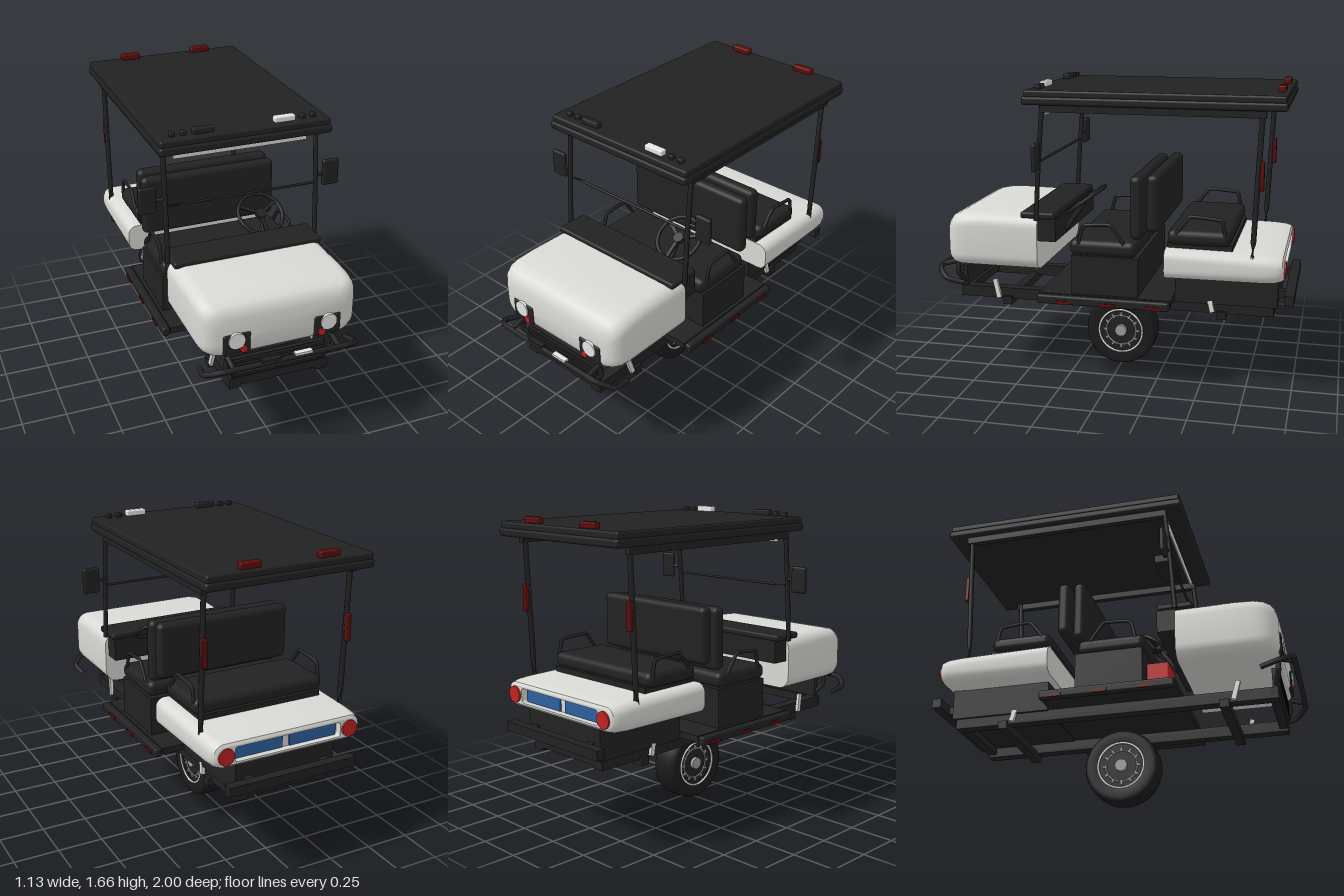
import * as THREE from 'three';
import { toCreasedNormals } from 'three/addons/utils/BufferGeometryUtils.js';
import { RoundedBoxGeometry } from 'three/addons/geometries/RoundedBoxGeometry.js';

const material = (name, color) => {
  const m = new THREE.MeshStandardMaterial({ color });
  m.name = name;
  return m;
};

export function createModel() {
  const model = new THREE.Group();
  model.name = 'utilityCart';
  const black = material('black trim', 0x222222);
  const tyreBlack = material('tyre black', 0x1b1b1b);
  const white = material('body white', 0xd9d9d5);
  const lampWhite = material('lamp white', 0xe6e6e6);
  const grey = material('rim grey', 0xa0a0a0);
  const red = material('red', 0xc02222);
  const darkRed = material('dark red', 0x5c0c0c);
  const blue = material('blue', 0x2c609f);

  const add = (name, geometry, mat, x = 0, y = 0, z = 0) => {
    const mesh = new THREE.Mesh(geometry, mat);
    mesh.name = name;
    mesh.position.set(x, y, z);
    model.add(mesh);
    return mesh;
  };
  // Box given by its limits, with optional rounded edges
  const box = (name, mat, x0, x1, y0, y1, z0, z1, r = 0) => {
    const size = [x1 - x0, y1 - y0, z1 - z0];
    const g = r ? new RoundedBoxGeometry(...size, 3, r) : new THREE.BoxGeometry(...size);
    return add(name, g, mat, (x0 + x1) / 2, (y0 + y1) / 2, (z0 + z1) / 2);
  };
  // Same box on both sides, limits given for +x
  const pair = (name, mat, x0, x1, ...rest) => {
    box(name, mat, x0, x1, ...rest);
    box(name, mat, -x1, -x0, ...rest);
  };
  const tube = (name, mat, points, r) => {
    const curve = new THREE.CatmullRomCurve3(points.map(p => new THREE.Vector3(...p)), false, 'catmullrom', 0.12);
    return add(name, new THREE.TubeGeometry(curve, (points.length - 1) * 8, r, 8), mat);
  };
  // Disc facing along z
  const disc = (name, mat, r, depth, x, y, z) =>
    add(name, new THREE.CylinderGeometry(r, r, depth, 28).rotateX(Math.PI / 2), mat, x, y, z);
  // Rounded rectangle cross-sections [z, half width, bottom, top, corner radius]
  const loft = (name, mat, sections) => {
    const rings = sections.map(([z, w, b, t, r]) => {
      const ring = [];
      for (let c = 0; c < 4; c++) for (let k = 0; k <= 6; k++) {
        const a = (c + k / 6) * Math.PI / 2;
        const cx = (c === 0 || c === 3 ? 1 : -1) * (w - r);
        const cy = c < 2 ? t - r : b + r;
        ring.push([cx + r * Math.cos(a), cy + r * Math.sin(a), z]);
      }
      return ring;
    });
    const n = rings[0].length, pos = [];
    const tri = (...p) => p.forEach(v => pos.push(...v));
    const mid = i => [0, (sections[i][2] + sections[i][3]) / 2, sections[i][0]];
    const last = rings.length - 1;
    for (let i = 0; i < n; i++) {
      const j = (i + 1) % n;
      for (let s = 0; s < last; s++) {
        const a = rings[s], b = rings[s + 1];
        tri(a[i], a[j], b[i]);
        tri(a[j], b[j], b[i]);
      }
      tri(mid(0), rings[0][j], rings[0][i]);
      tri(mid(last), rings[last][i], rings[last][j]);
    }
    const g = new THREE.BufferGeometry();
    g.setAttribute('position', new THREE.Float32BufferAttribute(pos, 3));
    return add(name, toCreasedNormals(g, 0.7), mat);
  };

  // Front and rear bodywork; the rear has a recessed panel
  loft('hood', white, [
    [0.385, 0.43, 0.645, 0.945, 0.07], [0.7, 0.43, 0.645, 0.95, 0.07], [0.8, 0.43, 0.645, 0.945, 0.07],
    [0.85, 0.425, 0.646, 0.936, 0.07], [0.885, 0.41, 0.65, 0.922, 0.07], [0.908, 0.385, 0.657, 0.9, 0.07],
    [0.92, 0.35, 0.68, 0.86, 0.06]]);
  loft('rearBody', white, [
    [-0.905, 0.31, 0.68, 0.76, 0.015], [-0.943, 0.31, 0.68, 0.76, 0.015], [-0.945, 0.41, 0.672, 0.77, 0.045],
    [-0.935, 0.425, 0.66, 0.785, 0.055], [-0.9, 0.436, 0.65, 0.793, 0.06], [-0.83, 0.438, 0.645, 0.798, 0.06],
    [-0.315, 0.438, 0.645, 0.805, 0.05]]);
  pair('rearPlate', blue, 0.02, 0.3, 0.682, 0.758, -0.913, -0.905);
  for (const s of [-1, 1]) disc('tailLamp', red, 0.045, 0.02, s * 0.362, 0.72, -0.944);

  // Headlamps with small red markers
  pair('headlampBezel', black, 0.174, 0.323, 0.663, 0.777, 0.89, 0.928, 0.012);
  for (const s of [-1, 1]) {
    disc('headlamp', lampWhite, 0.045, 0.02, s * 0.252, 0.74, 0.925);
    disc('frontMarker', red, 0.02, 0.02, s * 0.215, 0.687, 0.925);
  }

  // Dashboard and steering
  box('dashboardTop', black, -0.42, 0.42, 0.935, 0.97, 0.29, 0.48, 0.012);
  box('dashboard', black, -0.41, 0.41, 0.81, 0.94, 0.285, 0.388);
  tube('steeringColumn', black, [[0.195, 1.005, 0.168], [0.195, 0.82, 0.3]], 0.014);
  const steering = new THREE.Group();
  steering.name = 'steeringWheel';
  steering.position.set(0.195, 1.008, 0.168);
  steering.rotation.x = Math.PI / 2 - 0.625 + 0.0;
  steering.rotation.x = Math.PI / 2 + 0.625;
  steering.add(new THREE.Mesh(new THREE.TorusGeometry(0.128, 0.011, 8, 36), black));
  for (let i = 0; i < 3; i++) {
    const spoke = new THREE.Mesh(new THREE.BoxGeometry(0.125, 0.02, 0.012).translate(0.0625, 0, 0), black);
    spoke.rotation.z = Math.PI / 2 + i * Math.PI * 2 / 3;
    steering.add(spoke);
  }
  steering.add(new THREE.Mesh(new THREE.CylinderGeometry(0.03, 0.03, 0.025, 16).rotateX(Math.PI / 2), black));
  steering.children.forEach((m, i) => { m.name = 'steeringPart' + i; });
  model.add(steering);

  // Back-to-back seats
  box('frontSeatBase', black, -0.4, 0.4, 0.52, 0.74, -0.17, 0.2);
  box('frontCushion', black, -0.4, 0.4, 0.738, 0.825, -0.16, 0.215, 0.035);
  box('frontBackrest', black, -0.4, 0.4, 0.84, 1.185, -0.19, -0.12, 0.03);
  box('rearBackrest', black, -0.395, 0.395, 0.885, 1.195, -0.282, -0.21, 0.03);
  box('rearSeatBase', black, -0.36, 0.36, 0.79, 0.83, -0.67, -0.32);
  box('rearCushion', black, -0.385, 0.385, 0.822, 0.905, -0.662, -0.322, 0.035);
  for (const s of [-1, 1]) {
    tube('frontArmrest', black, [[s * 0.39, 0.79, 0.165], [s * 0.39, 0.905, 0.135], [s * 0.39, 0.915, -0.015], [s * 0.39, 0.81, -0.09]], 0.01);
    tube('rearArmrest', black, [[s * 0.375, 0.88, -0.365], [s * 0.375, 0.98, -0.445], [s * 0.375, 0.968, -0.612], [s * 0.375, 0.88, -0.632]], 0.01);
  }
  box('toolBox', red, -0.29, -0.1, 0.52, 0.69, 0.2, 0.32, 0.008);

  // Chassis, floor and bumpers
  box('floor', black, -0.42, 0.42, 0.485, 0.522, -0.35, 0.382);
  pair('sideStep', black, 0.42, 0.462, 0.472, 0.522, -0.35, 0.382, 0.012);
  for (const z of [0.235, -0.015, -0.265]) pair('sideReflector', darkRed, 0.46, 0.467, 0.477, 0.496, z - 0.04, z + 0.04);
  box('rearUnderbody', black, -0.29, 0.29, 0.48, 0.65, -0.91, -0.353);
  pair('chassisRail', black, 0.21, 0.275, 0.425, 0.487, -0.89, 0.89);
  for (const z of [0.61, -0.61]) box('crossMember', black, -0.293, 0.293, 0.395, 0.44, z - 0.025, z + 0.025);
  for (const z of [0.865, -0.865]) box('endMember', black, -0.275, 0.275, 0.44, 0.487, z - 0.025, z + 0.025);
  box('rearBumper', black, -0.37, 0.37, 0.525, 0.577, -1, -0.948);
  pair('rearBumperMount', black, 0.2, 0.25, 0.53, 0.57, -0.96, -0.9);
  box('frontPanel', black, -0.26, 0.26, 0.487, 0.6, 0.86, 0.885);
  for (let i = 0; i < 4; i++) box('frontSlat', black, -0.255, 0.255, 0.5 + i * 0.027, 0.515 + i * 0.027, 0.885, 0.9);
  tube('frontBumper', black, [[-0.41, 0.545, 0.82], [-0.425, 0.57, 0.92], [-0.34, 0.612, 0.985],
    [0.34, 0.612, 0.985], [0.425, 0.57, 0.92], [0.41, 0.545, 0.82]], 0.015);
  for (const s of [-1, 1]) {
    tube('bumperBracket', black, [[s * 0.25, 0.51, 0.88], [s * 0.3, 0.57, 0.9], [s * 0.29, 0.635, 0.9], [s * 0.29, 0.615, 0.98]], 0.014);
    for (const [y, z, h] of [[0.485, 0.672, 0.11], [0.465, -0.553, 0.065]])
      add('stepLever', new THREE.BoxGeometry(0.018, h, 0.026), white, s * 0.285, y, z).rotation.set(0.25, 0, s * 0.1);
  }
  box('bumperLampWhite', lampWhite, 0.04, 0.135, 0.614, 0.635, 0.97, 0.998);
  box('bumperLampDark', black, -0.14, -0.04, 0.614, 0.635, 0.97, 0.998);

  // Roof with marker lamps
  box('roofTop', black, -0.465, 0.465, 1.593, 1.633, -0.93, 0.435, 0.012);
  box('roofRim', black, -0.47, 0.47, 1.555, 1.6, -0.937, 0.446, 0.015);
  pair('roofSideRail', black, 0.405, 0.44, 1.517, 1.56, -0.83, 0.345);
  box('sunStrip', grey, -0.37, 0.37, 1.495, 1.545, 0.338, 0.345).material = white;
  box('roofConsole', black, 0.02, 0.27, 1.5, 1.556, 0.18, 0.29, 0.01);
  box('roofLampWhite', lampWhite, 0.163, 0.278, 1.632, 1.664, 0.36, 0.4, 0.008);
  box('roofLampDark', black, -0.28, -0.165, 1.632, 1.664, 0.36, 0.4, 0.008);
  pair('roofLampRed', darkRed, 0.163, 0.278, 1.632, 1.666, -0.912, -0.87, 0.008);
  for (const x of [0.325, 0.385]) pair('roofStud', black, x - 0.015, x + 0.015, 1.632, 1.657, 0.36, 0.39, 0.006);

  // Posts, crossbar and mirrors
  for (const s of [-1, 1]) {
    tube('frontPost', black, [[s * 0.424, 0.93, 0.388], [s * 0.424, 1.25, 0.368], [s * 0.424, 1.56, 0.342]], 0.0135);
    tube('rearPost', black, [[s * 0.415, 0.77, -0.778], [s * 0.415, 1.56, -0.81]], 0.0145);
    box('postLamp', darkRed, s * 0.415 - 0.014, s * 0.415 + 0.014, 1.145, 1.295, -0.828, -0.805, 0.005);
    tube('mirrorArm', black, [[s * 0.42, 1.29, 0.365], [s * 0.48, 1.285, 0.352]], 0.009);
  }
  tube('crossBar', black, [[-0.42, 1.25, 0.367], [0.42, 1.25, 0.367]], 0.007);
  pair('mirror', black, 0.468, 0.564, 1.218, 1.365, 0.34, 0.367, 0.012);

  // Single centre wheel
  const profile = [[0.125, -0.07], [0.18, -0.078], [0.198, -0.068], [0.205, -0.045], [0.205, 0.045],
    [0.198, 0.068], [0.18, 0.078], [0.125, 0.07]].map(p => new THREE.Vector2(...p));
  const wheelY = 0.207;
  const tyre = new THREE.LatheGeometry(profile, 48).rotateZ(-Math.PI / 2);
  add('tyre', tyre, tyreBlack, 0, wheelY);
  add('rimDisc', new THREE.CylinderGeometry(0.13, 0.13, 0.11, 40).rotateZ(Math.PI / 2), black, 0, wheelY);
  for (const s of [-1, 1]) {
    add('whiteRing', new THREE.TorusGeometry(0.127, 0.006, 8, 48).rotateY(Math.PI / 2), lampWhite, s * 0.072, wheelY);
    add('rimRing', new THREE.TorusGeometry(0.088, 0.005, 6, 36).rotateY(Math.PI / 2), grey, s * 0.058, wheelY);
    add('hub', new THREE.CylinderGeometry(0.034, 0.034, 0.03, 24).rotateZ(Math.PI / 2), grey, s * 0.06, wheelY);
    for (let i = 0; i < 12; i++) {
      const lug = new THREE.BoxGeometry(0.012, 0.024, 0.012).translate(0, 0.095, 0).rotateX(i * Math.PI / 6);
      add('rimLug', lug, grey, s * 0.058, wheelY);
    }
  }
  return model;
}
